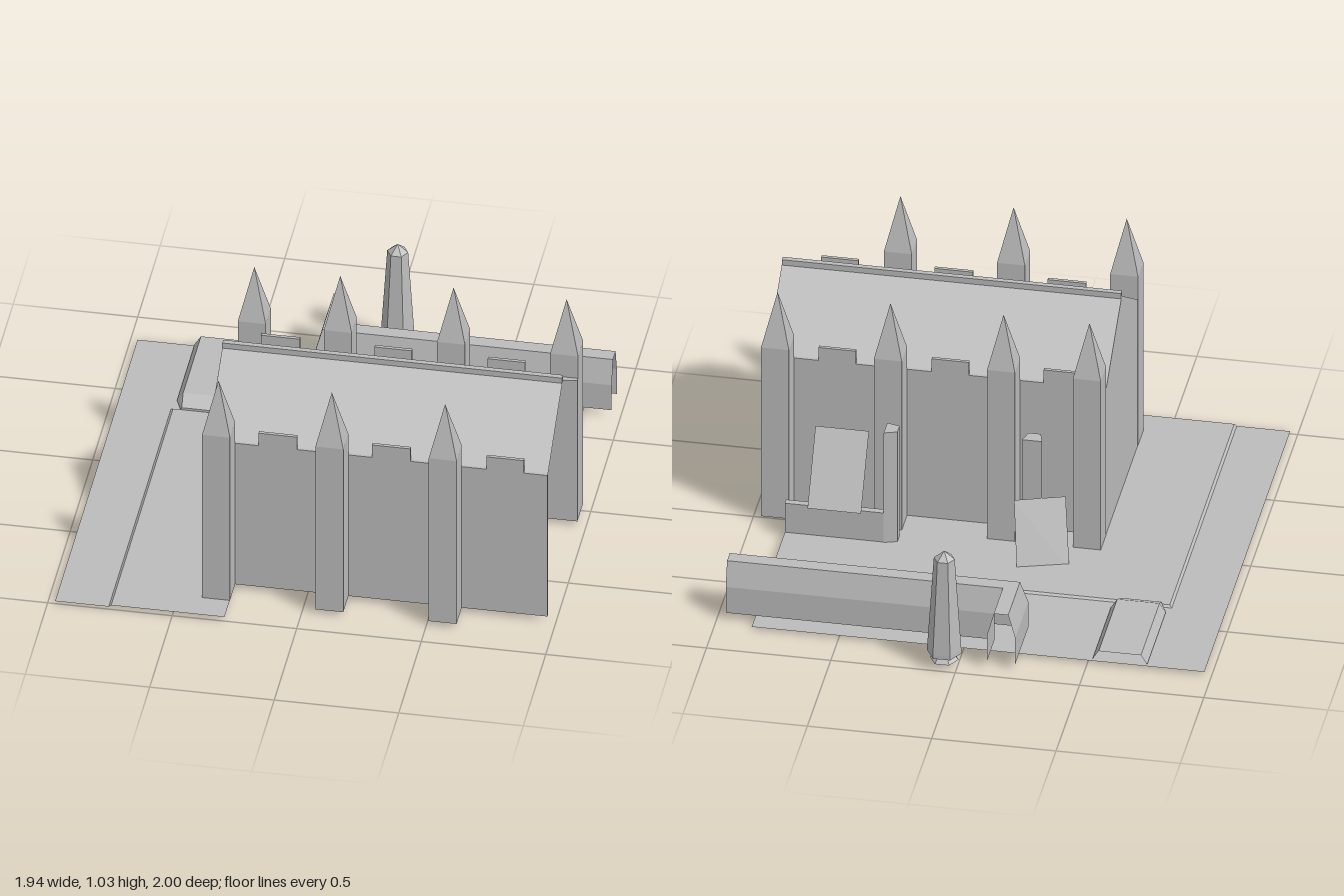
import * as THREE from 'three';

const stone = new THREE.MeshStandardMaterial({ color: 0xbcbcbc, flatShading: true, side: THREE.DoubleSide });
stone.name = 'grey stone';

const X0 = -0.4, X1 = 0.965, FLOOR = 0.02, EAVE = 0.7;

// Joins cross-sections (lists of [x, y, z]) into an open shell
function loft(sections) {
  const pos = [];
  for (let i = 0; i + 1 < sections.length; i++) {
    const a = sections[i], b = sections[i + 1];
    for (let j = 0; j + 1 < a.length; j++) {
      pos.push(...a[j], ...b[j], ...b[j + 1], ...a[j], ...b[j + 1], ...a[j + 1]);
    }
  }
  const g = new THREE.BufferGeometry();
  g.setAttribute('position', new THREE.Float32BufferAttribute(pos, 3));
  g.computeVertexNormals();
  return g;
}

function box(x0, x1, y0, y1, z0, z1) {
  return new THREE.BoxGeometry(x1 - x0, y1 - y0, z1 - z0)
    .translate((x0 + x1) / 2, (y0 + y1) / 2, (z0 + z1) / 2);
}

function shapeOf(points) {
  return new THREE.Shape(points.map(([x, y]) => new THREE.Vector2(x, y)));
}

// Flat horizontal sheet from an x/z outline
function sheet(points, y) {
  return new THREE.ShapeGeometry(shapeOf(points.map(([x, z]) => [x, -z])))
    .rotateX(-Math.PI / 2).translate(0, y, 0);
}

// Upright prism from an x/z outline
function prism(points, y0, y1) {
  return new THREE.ExtrudeGeometry(shapeOf(points.map(([x, z]) => [x, -z])), { depth: y1 - y0, bevelEnabled: false })
    .rotateX(-Math.PI / 2).translate(0, y0, 0);
}

// Long wall with raised battlements at the given x ranges
function battlementWall(merlons, z) {
  const top = merlons.flatMap(([a, b]) => [[a, EAVE], [a, 0.76], [b, 0.76], [b, EAVE]]);
  const outline = [[X0, FLOOR], [X0, EAVE], ...top, [X1, EAVE], [X1, FLOOR]];
  return new THREE.ExtrudeGeometry(shapeOf(outline), { depth: 0.014, bevelEnabled: false }).translate(0, 0, z);
}

export function createModel() {
  const root = new THREE.Group();
  root.name = 'chapelAndStreet';
  const add = (name, geometry, parent = root) => {
    const m = new THREE.Mesh(geometry, stone);
    m.name = name;
    parent.add(m);
    return m;
  };

  // Ground: raised pavement, lower road and the kerb between them
  add('pavement', sheet([[-0.745, -0.375], [0.85, -0.375], [0.85, 0.1], [-0.29, 0.1], [-0.29, 1], [-0.745, 1]], 0.02));
  add('road', sheet([[-0.97, -0.83], [0.85, -0.83], [0.85, -0.385], [-0.755, -0.385], [-0.755, 1], [-0.97, 1]], 0.012));
  add('kerb', loft([
    [[0.85, 0.012, -0.385], [0.85, 0.02, -0.375]],
    [[-0.755, 0.012, -0.385], [-0.745, 0.02, -0.375]],
    [[-0.755, 0.012, 1], [-0.745, 0.02, 1]],
  ]));

  // Chapel: two battlemented walls, one gable and a pitched roof, open at +x
  const chapel = new THREE.Group();
  chapel.name = 'chapel';
  root.add(chapel);
  add('frontWall', battlementWall([[-0.195, -0.04], [0.26, 0.415], [0.72, 0.87]], 0.756), chapel);
  add('backWall', battlementWall([[-0.305, -0.15], [0.15, 0.3], [0.605, 0.755]], 0.09), chapel);
  add('gable', loft([
    [[X0, FLOOR, 0.77], [X0, FLOOR, 0.43], [X0, FLOOR, 0.09]],
    [[X0, EAVE, 0.77], [X0, EAVE, 0.43], [X0, EAVE, 0.09]],
    [[X0, EAVE, 0.757], [X0, 0.925, 0.43], [X0, EAVE, 0.104]],
  ]), chapel);
  add('roof', loft([X0, X1].map(x => [[x, EAVE, 0.757], [x, 0.925, 0.43], [x, EAVE, 0.104]])), chapel);
  add('ridge', box(X0, X1, 0.918, 0.943, 0.419, 0.441), chapel);

  // Buttress towers with pyramid tips
  const r = 0.056 * Math.SQRT2;
  const tower = (x, z) => {
    const g = new THREE.Group();
    g.name = 'tower';
    g.position.set(x, 0, z);
    chapel.add(g);
    add('towerShaft', new THREE.CylinderGeometry(r, r, 0.785, 4, 1, true).rotateY(Math.PI / 4).translate(0, FLOOR + 0.3925, 0), g);
    add('towerTip', new THREE.ConeGeometry(r, 0.23, 4, 1, true).rotateY(Math.PI / 4).translate(0, 0.92, 0), g);
  };
  for (const x of [-0.345, 0.11, 0.565]) tower(x, 0.828);
  for (const x of [-0.345, 0, 0.455, 0.909]) tower(x, 0.033);

  // Posts, low wall and leaning slabs behind the chapel
  add('leftPost', prism([[0.4, -0.11], [0.452, -0.127], [0.452, -0.05], [0.4, -0.064]], FLOOR, 0.53));
  add('rightPost', prism([[-0.175, -0.075], [-0.095, -0.075], [-0.11, -0.02], [-0.16, -0.02]], FLOOR, 0.53));
  add('lowWall', box(0.452, 0.85, FLOOR, 0.155, -0.124, -0.096));
  add('propSlab', loft([
    [[0.54, 0.155, -0.145], [0.755, 0.155, -0.145]],
    [[0.54, 0.435, 0.025], [0.755, 0.435, 0.025]],
  ]));
  add('leaningSlab', loft([
    [[-0.3, 0, -0.155], [-0.1, 0, -0.217]],
    [[-0.265, 0.27, -0.05], [-0.07, 0.27, -0.115]],
  ]));

  // Ramp with bevelled sides and a sloping nose
  const ramp = (z, base, top, y) => [[-base, FLOOR, z], [-top, y, z], [top, y, z], [base, FLOOR, z]]
    .map(([x, h, d]) => [x - 0.63, h, d]);
  add('ramp', loft([
    ramp(-0.83, 0.11, 0.085, 0.06), ramp(-0.435, 0.11, 0.085, 0.06),
    ramp(-0.375, 0.085, 0.08, 0.03), ramp(-0.375, 0.085, 0.085, FLOOR),
  ]));

  // Hollow boundary wall, mitred at its corner
  const coping = [[0, 0.03], [0, 0.15], [0.028, 0.255], [0.086, 0.255], [0.114, 0.15], [0.114, 0.03]];
  add('boundaryWall', loft([
    coping.map(([a, y]) => [-0.23 + a, y, -0.94]),
    coping.map(([a, y]) => [-0.23 + a, y, -0.66 - a]),
    coping.map(([a, y]) => [X1, y, -0.66 - a]),
  ]));

  // Six-sided tapering bollard
  const profile = [[0, 0.025], [0.058, 0.025], [0.042, 0.042], [0.069, 0.055], [0.069, 0.072], [0.042, 0.49], [0, 0.525]];
  add('bollard', new THREE.LatheGeometry(profile.map(([x, y]) => new THREE.Vector2(x, y)), 6, Math.PI / 2)
    .translate(0.055, 0, -0.94));

  return root;
}
